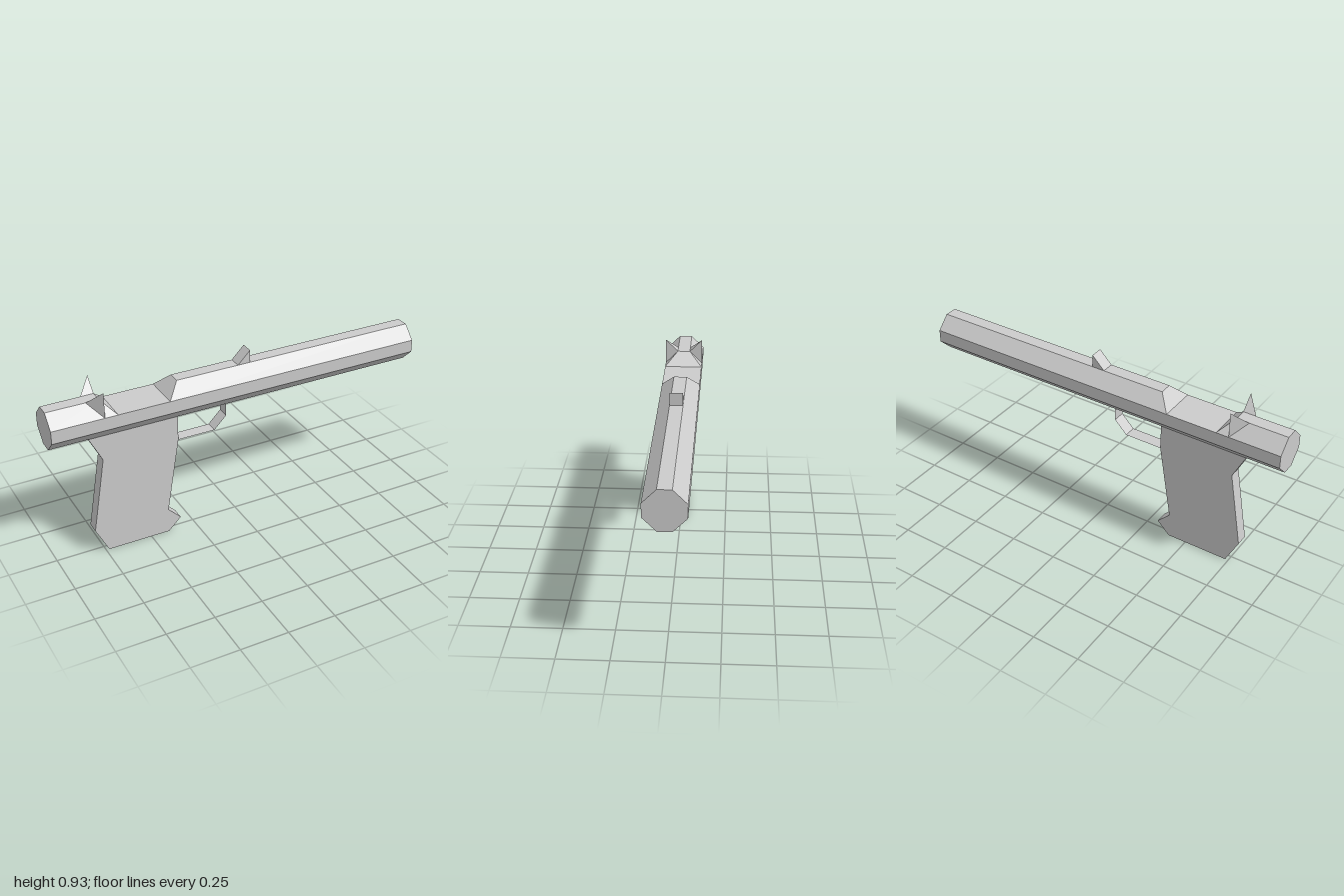
import * as THREE from 'three';
import { ConvexGeometry } from 'three/addons/geometries/ConvexGeometry.js';

const U = 1 / 15; // modelling grid step
const material = new THREE.MeshStandardMaterial({ color: 0xcccccc, flatShading: true });
const thinMaterial = new THREE.MeshStandardMaterial({ color: 0xcccccc, flatShading: true, side: THREE.DoubleSide });

// Extrude a profile given in grid steps, centred on its depth
function extrude(points, depth) {
  const shape = new THREE.Shape(points.map(([x, y]) => new THREE.Vector2(x * U, y * U)));
  const geometry = new THREE.ExtrudeGeometry(shape, { depth, bevelEnabled: false });
  return geometry.translate(0, 0, -depth / 2);
}

// Convex solid from corners in grid steps
function hull(points) {
  return new ConvexGeometry(points.map(([x, y, z]) => new THREE.Vector3(x * U, y * U, z * U)));
}

// Upper barrel section: wide at the bottom, narrow on top, with its own end slopes
function barrelTop(bottomBack, bottomFront, topBack, topFront) {
  const corners = [];
  for (const s of [-1, 1]) {
    corners.push([bottomBack, 12, 1.5 * s], [bottomFront, 12, 1.5 * s]);
    corners.push([topBack, 13, 0.5 * s], [topFront, 13, 0.5 * s]);
  }
  return hull(corners);
}

export function createModel() {
  const group = new THREE.Group();
  const add = (name, geometry, mat = material) => {
    const mesh = new THREE.Mesh(geometry, mat);
    mesh.name = name;
    group.add(mesh);
  };

  // Octagonal barrel: full-length lower part, upper parts either side of the notch
  const lower = extrude([[-0.5, 10], [0.5, 10], [1.5, 11], [1.5, 12], [-1.5, 12], [-1.5, 11]], 2);
  add('barrelLower', lower.rotateY(Math.PI / 2));
  add('barrelTopRear', barrelTop(-15, -10, -15, -11));
  add('barrelTopFront', barrelTop(-6, 15, -5, 15));

  // Grip with flared foot
  add('grip', extrude([
    [-12, 10], [-11, 8], [-12, 2], [-11, 0], [-6, 0], [-5, 1], [-6, 2], [-5, 8], [-5, 10],
  ], U));

  // Trigger guard: a thin bent strip
  const bend = [[-5, 8], [-2, 8], [-1, 9], [-1, 10]];
  const guard = new THREE.PlaneGeometry(1, 1, bend.length - 1, 1);
  const position = guard.attributes.position;
  for (let i = 0; i < position.count; i++) {
    const [x, y] = bend[i % bend.length];
    position.setXYZ(i, x * U, y * U, (i < bend.length ? 0.5 : -0.5) * U);
  }
  guard.computeVertexNormals();
  add('triggerGuard', guard, thinMaterial);

  // Front sight wedge
  add('frontSight', extrude([[0, 13], [1, 13], [1, 14]], U));

  // Pair of pointed rear sights
  for (const [name, s] of [['rearSightRight', 1], ['rearSightLeft', -1]]) {
    add(name, hull([[-12, 13, 0.5 * s], [-11, 14, 1.5 * s], [-11, 12, 1.5 * s], [-11, 13, 0.5 * s]]));
  }

  return group;
}
